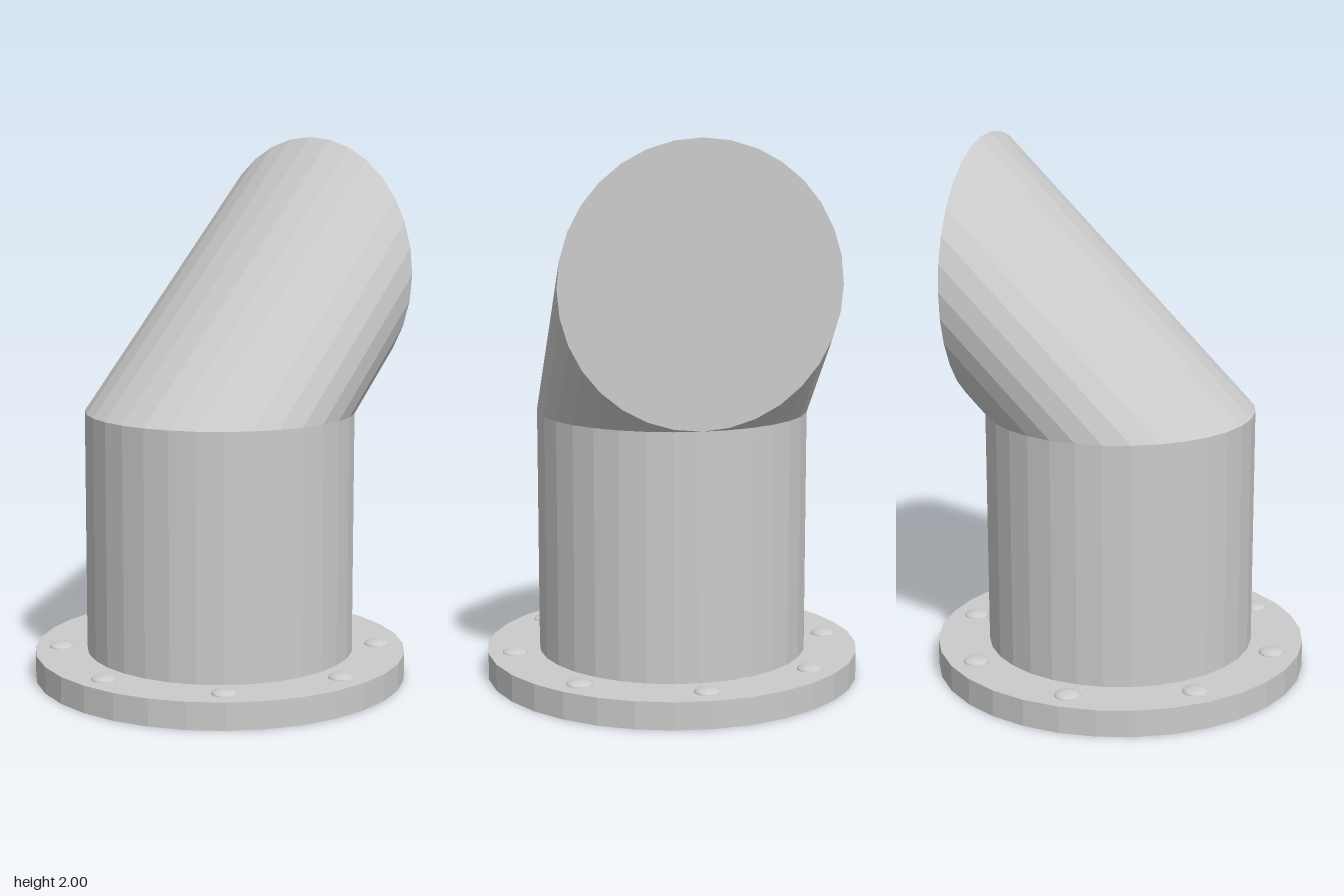
import * as THREE from 'three';

const SIDES = 32;
const RADIUS = 0.5;

export function createModel() {
  const group = new THREE.Group();
  const grey = new THREE.MeshStandardMaterial({ color: 0xcccccc, flatShading: true });

  const add = (name, geometry, y) => {
    const mesh = new THREE.Mesh(geometry, grey);
    mesh.name = name;
    mesh.position.y = y;
    group.add(mesh);
    return mesh;
  };

  // Round mounting flange and upright pipe
  add('flange', new THREE.CylinderGeometry(0.695, 0.695, 0.1, SIDES), 0.05);
  add('pipe', new THREE.CylinderGeometry(RADIUS, RADIUS, 0.9, SIDES), 0.55);

  // Slanted outlet: the upper ring is turned to a vertical disc at the back
  const outlet = new THREE.CylinderGeometry(RADIUS, RADIUS, 1, SIDES);
  const pos = outlet.attributes.position;
  for (let i = 0; i < pos.count; i++) {
    const z = pos.getZ(i);
    if (pos.getY(i) > 0) pos.setXYZ(i, pos.getX(i), z + RADIUS, -RADIUS);
    else pos.setY(i, 0);
  }
  outlet.computeVertexNormals();
  add('outlet', outlet, 1);

  // Eight low domed bolts around the flange
  const dome = new THREE.SphereGeometry(0.048, 16, 6, 0, Math.PI * 2, 0, Math.PI / 2);
  dome.scale(1, 0.36, 1);
  for (let i = 0; i < 8; i++) {
    const a = (i * Math.PI) / 4;
    const bolt = add('bolt', dome, 0.1);
    bolt.position.x = 0.595 * Math.sin(a);
    bolt.position.z = 0.595 * Math.cos(a);
  }

  return group;
}
